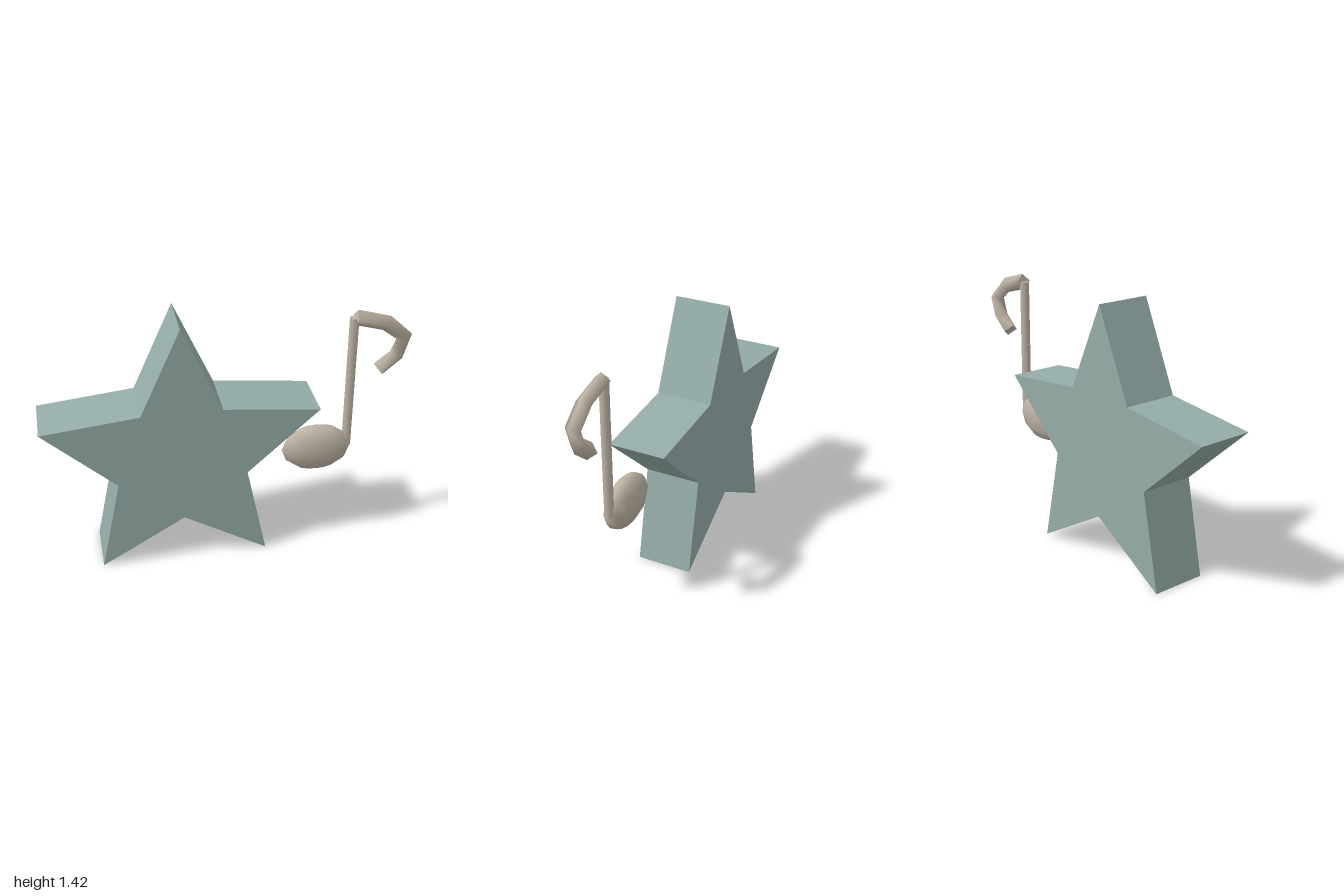
import * as THREE from 'three';

const NOTE_Z = 0.058;

// Sweeps a diamond section along a path in the xy plane, with mitred joints
function sweptDiamond(path, radius) {
  const sides = 4, pos = [], index = [];
  const pts = path.map(([x, y]) => new THREE.Vector2(x, y));
  pts.forEach((p, i) => {
    const before = pts[Math.max(i - 1, 0)], after = pts[Math.min(i + 1, pts.length - 1)];
    const dirIn = (i ? p.clone().sub(before) : after.clone().sub(p)).normalize();
    const dirOut = (i < pts.length - 1 ? after.clone().sub(p) : p.clone().sub(before)).normalize();
    const t = dirIn.add(dirOut).normalize();
    for (let j = 0; j < sides; j++) {
      const a = (j / sides) * Math.PI * 2, n = Math.cos(a) * radius;
      pos.push(p.x - t.y * n, p.y + t.x * n, Math.sin(a) * radius);
    }
  });
  for (let i = 0; i < pts.length - 1; i++) {
    for (let j = 0; j < sides; j++) {
      const a = i * sides + j, b = i * sides + (j + 1) % sides;
      index.push(a, b, a + sides, b, b + sides, a + sides);
    }
  }
  // End caps on their own vertices, so their edges stay sharp
  const last = (pts.length - 1) * sides;
  for (const [start, flip] of [[0, true], [last, false]]) {
    const base = pos.length / 3;
    pos.push(...pos.slice(start * 3, (start + sides) * 3));
    for (let j = 1; j < sides - 1; j++) {
      index.push(base, base + (flip ? j + 1 : j), base + (flip ? j : j + 1));
    }
  }
  const g = new THREE.BufferGeometry();
  g.setAttribute('position', new THREE.Float32BufferAttribute(pos, 3));
  g.setIndex(index);
  g.computeVertexNormals();
  return g;
}

export function createModel() {
  const model = new THREE.Group();
  const starGreen = new THREE.MeshStandardMaterial({ color: 0x94aca8 });
  starGreen.name = 'greyGreen';
  const noteBeige = new THREE.MeshStandardMaterial({ color: 0xbdb3a4 });
  noteBeige.name = 'warmBeige';

  const add = (parent, name, geometry, material, x, y, z) => {
    const mesh = new THREE.Mesh(geometry, material);
    mesh.name = name;
    mesh.position.set(x, y, z);
    parent.add(mesh);
    return mesh;
  };

  // Star: right half of the outline, mirrored about its own axis
  const half = [[0, 1.425], [0.218, 0.94], [0.745, 0.885], [0.352, 0.527], [0.461, 0], [0, 0.27]];
  const mirrored = half.slice(1, -1).reverse().map(([x, y]) => [-x, y]);
  const outline = new THREE.Shape([...half, ...mirrored].map(([x, y]) => new THREE.Vector2(x, y)));
  const starGeo = new THREE.ExtrudeGeometry(outline, { depth: 0.314, bevelEnabled: false });
  add(model, 'star', starGeo, starGreen, -0.254, 0, -0.157);

  // Musical note
  const note = new THREE.Group();
  note.name = 'musicalNote';
  note.position.z = NOTE_Z;
  model.add(note);

  // Flattened oval head
  const head = new THREE.SphereGeometry(1, 12, 6);
  head.scale(0.196, 0.139, 0.073);
  add(note, 'noteHead', head, noteBeige, 0.505, 0.584, 0);

  // Upright stem
  add(note, 'noteStem', new THREE.CylinderGeometry(0.026, 0.026, 0.775, 8), noteBeige, 0.675, 0.974, 0);

  // Hooked flag
  const flag = [[0.684, 1.362], [0.853, 1.315], [0.956, 1.227], [0.92, 1.121], [0.826, 1.045]];
  add(note, 'noteFlag', sweptDiamond(flag, 0.044), noteBeige, 0, 0, 0);

  return model;
}
